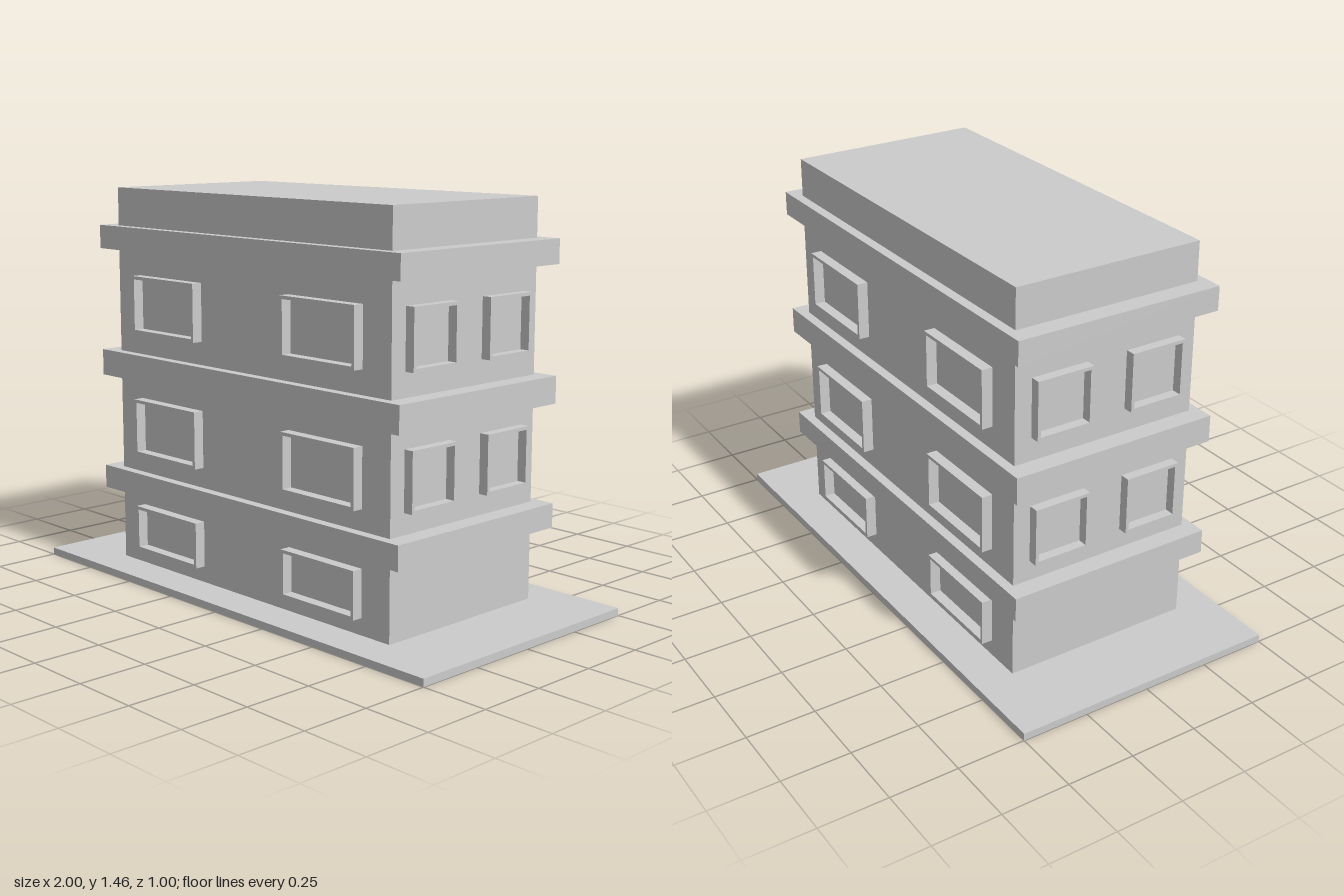
import * as THREE from 'three';

const material = new THREE.MeshStandardMaterial({ color: 0xcccccc, flatShading: true });

// Box given by its full width, depth and vertical range
function slab(name, width, depth, bottom, top) {
  const mesh = new THREE.Mesh(new THREE.BoxGeometry(width, top - bottom, depth), material);
  mesh.name = name;
  mesh.position.y = (bottom + top) / 2;
  return mesh;
}

// Hollow rectangular frame, centred in x and y, standing out along +z
function frameGeometry(width, height, depth, border) {
  const rect = (target, w, h) => {
    target.moveTo(-w, -h);
    target.lineTo(w, -h);
    target.lineTo(w, h);
    target.lineTo(-w, h);
    target.closePath();
    return target;
  };
  const shape = rect(new THREE.Shape(), width / 2, height / 2);
  shape.holes.push(rect(new THREE.Path(), width / 2 - border, height / 2 - border));
  return new THREE.ExtrudeGeometry(shape, { depth, bevelEnabled: false });
}

export function createModel() {
  const model = new THREE.Group();
  model.name = 'building';
  const wallX = 0.714, wallZ = 0.356;

  // Ground plate and main block
  model.add(slab('groundPlate', 2, 1, 0, 0.027));
  model.add(slab('walls', wallX * 2, wallZ * 2, 0.027, 1.455));

  // Ledges running round the building
  for (const [bottom, top] of [[0.296, 0.384], [0.74, 0.838], [1.225, 1.313]]) {
    model.add(slab('ledge', 1.568, 0.784, bottom, top));
  }

  // Window frames: every floor front and back, the upper two floors on the ends
  const floors = [[0.087, 0.257], [0.459, 0.67], [0.923, 1.135]];
  floors.forEach(([bottom, top], floor) => {
    const y = (bottom + top) / 2;
    const longFrame = frameGeometry(0.355, top - bottom, 0.04, 0.012);
    const endFrame = frameGeometry(0.214, top - bottom, 0.036, 0.012);
    for (const face of [1, -1]) {
      for (const side of [1, -1]) {
        const front = new THREE.Mesh(longFrame, material);
        front.name = face > 0 ? 'frontWindowFrame' : 'backWindowFrame';
        front.position.set(side * 0.408, y, face * wallZ);
        front.rotation.y = face > 0 ? 0 : Math.PI;
        model.add(front);

        if (floor === 0) continue;
        const end = new THREE.Mesh(endFrame, material);
        end.name = face > 0 ? 'leftWindowFrame' : 'rightWindowFrame';
        end.position.set(face * wallX, y, side * 0.185);
        end.rotation.y = face * Math.PI / 2;
        model.add(end);
      }
    }
  });
  return model;
}
